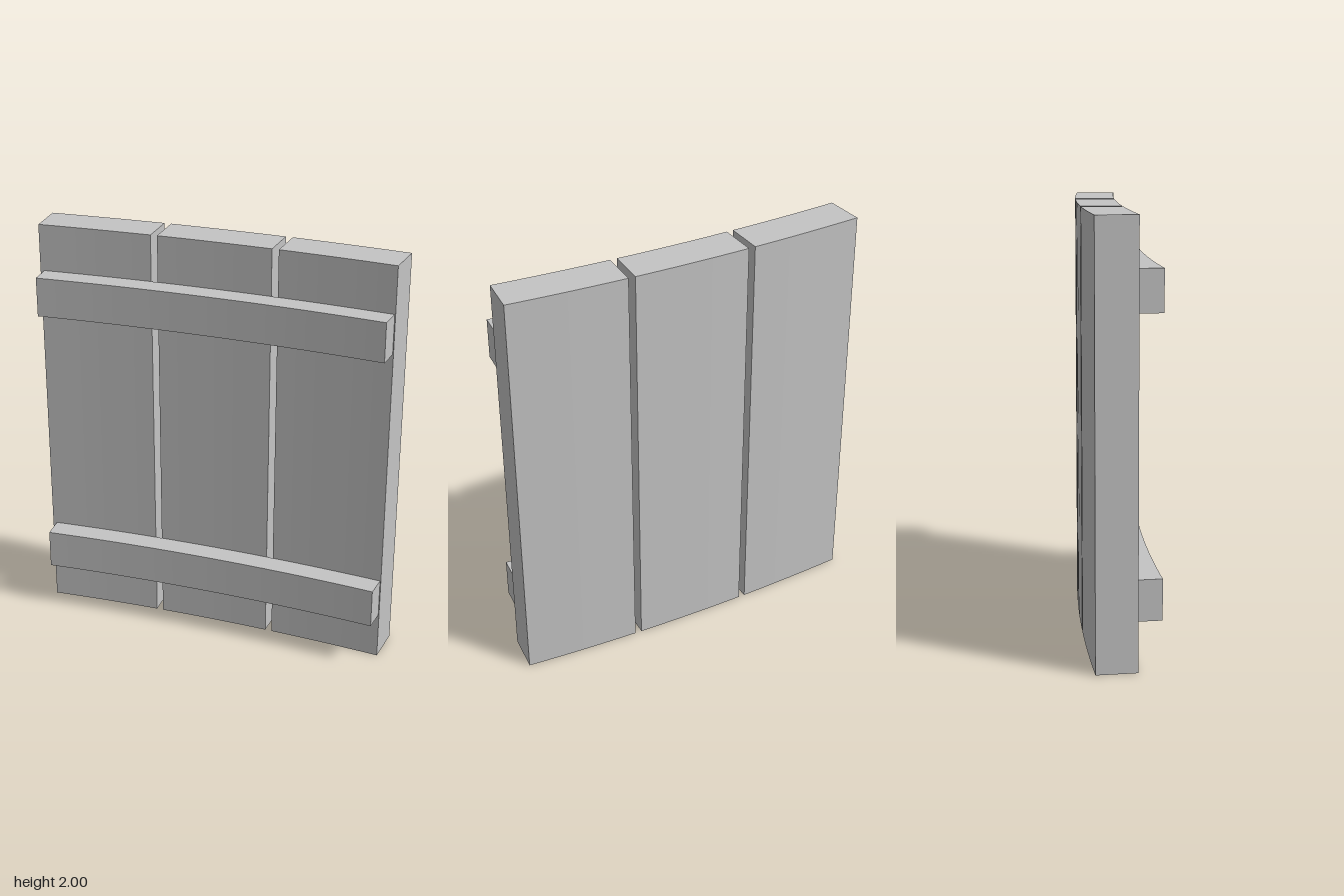
import * as THREE from 'three';

// Shared bend: every part follows arcs around one far-off vertical axis.
const AXIS_X = 0.87, AXIS_Z = 10.28;
const R_BACK = 10.5, R_FACE = 10.31, R_BRACE = 10.2;

// Curved bar between two radii and two angles, from y0 to y1.
function curvedBar(name, rOuter, rInner, a0, a1, y0, y1, segments, material) {
  const point = (r, a) =>
    new THREE.Vector2(AXIS_X - r * Math.sin(a), r * Math.cos(a) - AXIS_Z);
  const outline = [];
  for (let i = 0; i <= segments; i++) {
    outline.push(point(rOuter, a0 + ((a1 - a0) * i) / segments));
  }
  for (let i = segments; i >= 0; i--) {
    outline.push(point(rInner, a0 + ((a1 - a0) * i) / segments));
  }
  const geometry = new THREE.ExtrudeGeometry(new THREE.Shape(outline), {
    depth: y1 - y0, bevelEnabled: false,
  });
  geometry.rotateX(-Math.PI / 2);
  geometry.translate(0, y0, 0);
  const mesh = new THREE.Mesh(geometry, material);
  mesh.name = name;
  return mesh;
}

export function createModel() {
  const model = new THREE.Group();
  model.name = 'curvedPlankPanel';

  const grey = new THREE.MeshStandardMaterial({ color: 0xc4c4c4 });
  grey.name = 'plain grey';

  // Three upright planks with narrow gaps
  const plankAngle = 0.0536, gapAngle = 0.0031;
  ['leftPlank', 'middlePlank', 'rightPlank'].forEach((name, i) => {
    const start = i * (plankAngle + gapAngle);
    model.add(curvedBar(name, R_BACK, R_FACE, start, start + plankAngle, 0, 2, 6, grey));
  });

  // Two cross braces on the front face
  [['lowerBrace', 0.23], ['upperBrace', 1.585]].forEach(([name, y]) => {
    model.add(curvedBar(name, R_FACE, R_BRACE, 0.0004, 0.1652, y, y + 0.19, 18, grey));
  });

  return model;
}
